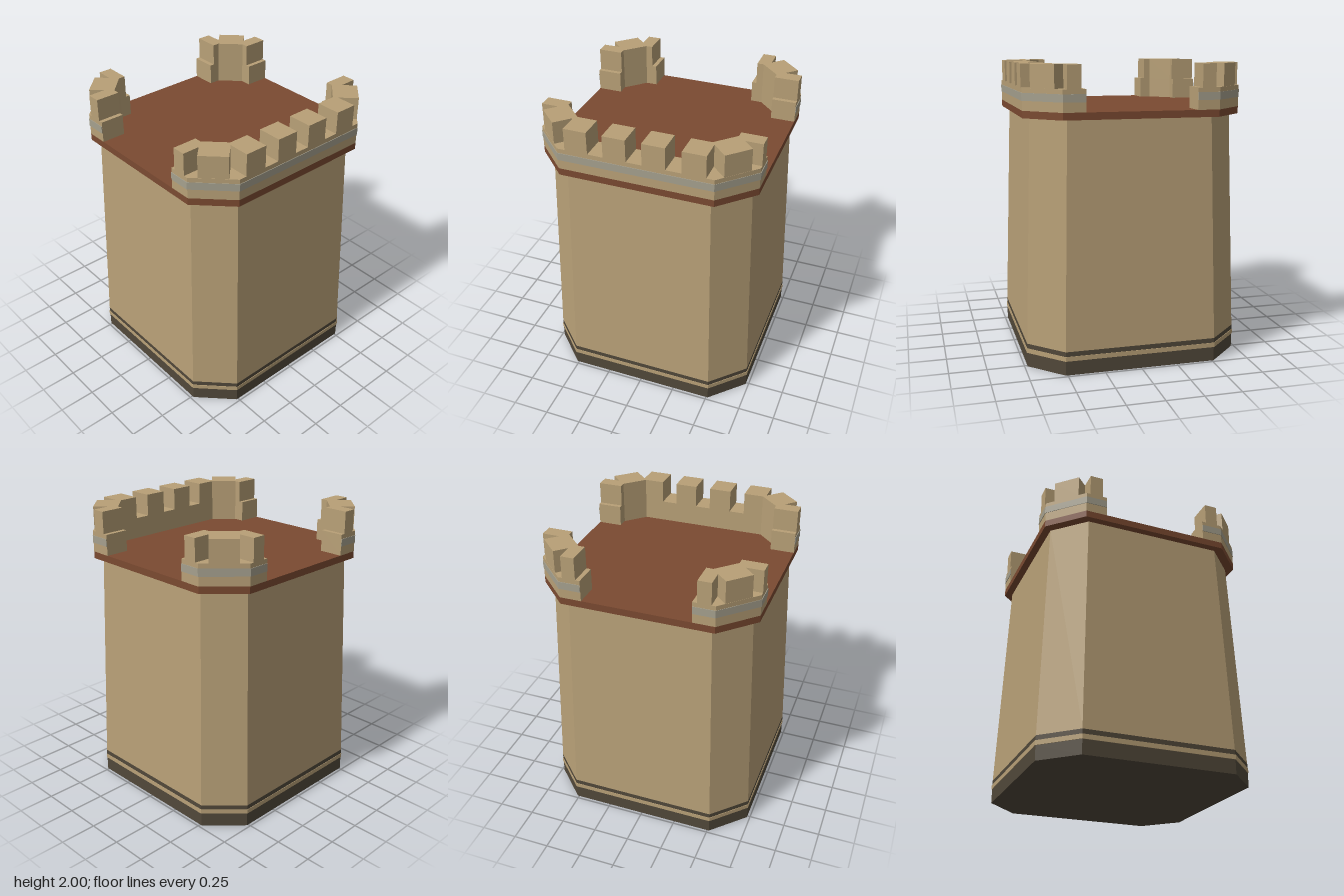
import * as THREE from 'three';

const mat = (name, color) => {
  const m = new THREE.MeshStandardMaterial({ color });
  m.name = name;
  return m;
};

export function createModel() {
  const sand = mat('sandstone', 0xb8a077);
  const dark = mat('darkStone', 0x51483a);
  const wood = mat('redBrownFloor', 0x7b4a31);
  const grey = mat('greyTrim', 0xa5a08e);

  const group = new THREE.Group();
  group.name = 'castleTower';

  const H = 0.73, C = 0.512; // octagon half width and corner position
  const END = 0.365, IN = 0.565, INC = 0.44; // parapet end and inner face

  // upright prism from a plan outline of [x, z] points
  const prism = (name, pts, y0, y1, material, topScale = 1) => {
    const shape = new THREE.Shape(pts.map(([x, z]) => new THREE.Vector2(x, -z)));
    const g = new THREE.ExtrudeGeometry(shape, { depth: y1 - y0, bevelEnabled: false });
    g.rotateX(-Math.PI / 2);
    g.translate(0, y0, 0);
    if (topScale !== 1) {
      const p = g.attributes.position;
      for (let i = 0; i < p.count; i++) {
        const s = p.getY(i) > (y0 + y1) / 2 ? topScale : 1;
        p.setX(i, p.getX(i) * s);
        p.setZ(i, p.getZ(i) * s);
      }
      g.computeVertexNormals();
    }
    const mesh = new THREE.Mesh(g, material);
    mesh.name = name;
    group.add(mesh);
  };
  const mirrorX = (pts) => pts.map(([x, z]) => [-x, z]);
  const mirrorZ = (pts) => pts.map(([x, z]) => [x, -z]);
  // half outline on +x, completed by its mirror image
  const both = (half) => [...half, ...mirrorX(half).reverse()];
  const octagon = (h, c) => both([[c, -h], [h, -c], [h, c], [c, h]]);

  // base courses, tapered body and roof slab
  prism('plinth', octagon(H, C), 0, 0.097, dark);
  prism('plinthBand', octagon(H + 0.004, C + 0.002), 0.097, 0.128, sand);
  prism('baseStripe', octagon(H + 0.001, C), 0.128, 0.16, dark);
  prism('towerBody', octagon(H, C), 0.16, 1.66, sand, 0.932);
  prism('roofFloor', octagon(H, C), 1.66, 1.707, wood);

  // plan of a parapet on the front, and of one on a back corner
  const frontWall = (o, i, ic, e) => {
    const outer = [[o, e], [o, C], [C, o]];
    const inner = [[i, e], [i, ic], [ic, i]];
    return [...outer, ...mirrorX(outer).reverse(), ...mirrorX(inner), ...inner.slice().reverse()];
  };
  const cornerWall = (o, i, ic, e) =>
    [[o, e], [o, C], [C, o], [e, o], [e, i], [ic, i], [i, ic], [i, e]];

  prism('frontParapet', frontWall(H, IN, INC, END), 1.707, 1.85, sand);
  prism('frontTrim', frontWall(H + 0.004, 0.715, 0.505, END + 0.001), 1.77, 1.82, grey);
  const backWall = mirrorZ(cornerWall(H, IN, INC, END));
  const backTrim = mirrorZ(cornerWall(H + 0.004, 0.715, 0.505, END + 0.001));
  for (const flip of [(p) => p, mirrorX]) {
    prism('backCornerParapet', flip(backWall), 1.707, 1.85, sand);
    prism('backCornerTrim', flip(backTrim), 1.77, 1.82, grey);
  }

  // corner merlons with wedge notches either side of the diagonal block
  const cornerMerlon = (notch, end) => [
    [H, 0.395], [H, 0.485], [0.615, 0.485], [0.685, 0.555], [0.555, 0.685],
    [notch, notch + 0.13], [notch, H], [end, H], [end, IN], [INC, IN], [IN, INC], [IN, 0.395],
  ];
  for (const flip of [(p) => p, mirrorX]) {
    prism('frontCornerMerlon', flip(cornerMerlon(0.46, 0.307)), 1.85, 2, sand);
    prism('backCornerMerlon', flip(mirrorZ(cornerMerlon(0.485, 0.395))), 1.85, 2, sand);
    prism('frontMerlon', flip([[0.052, IN], [0.203, IN], [0.203, H], [0.052, H]]), 1.85, 2, sand);
  }

  return group;
}
